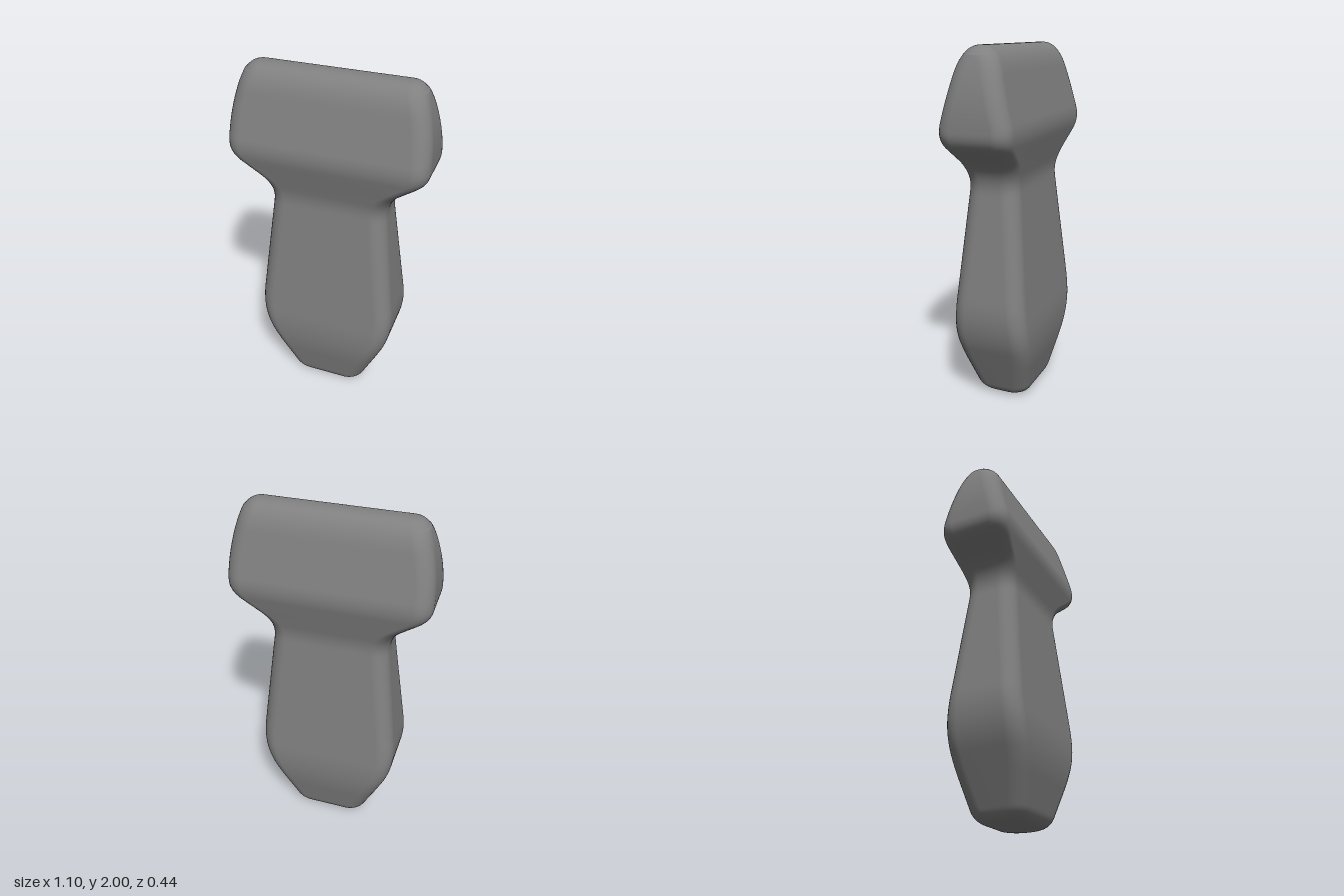
import * as THREE from 'three';

// Outline corners: [height, half size, fillet length]
const WIDTH = [
  [0, 0.14], [0, 0.2, 0.07], [0.48, 0.415, 0.16], [1.345, 0.316, 0.12],
  [1.525, 0.55, 0.06], [1.79, 0.546, 0.18], [2, 0.465, 0.08], [2, 0.39],
];
const DEPTH = [
  [0, 0.08], [0, 0.148, 0.075], [0.37, 0.23, 0.15], [1.3, 0.141, 0.05],
  [1.57, 0.208, 0.06], [2, 0.096, 0.14], [2, 0.004],
];

// Polyline with rounded corners, returned as a lookup from height to half size
function outline(corners) {
  const v = corners.map(([y, s]) => new THREE.Vector2(s, y));
  const toward = (a, b, d) => a.clone().lerp(b, Math.min(1, d / a.distanceTo(b)));
  const path = new THREE.Path().moveTo(v[0].x, v[0].y);
  for (let i = 1; i < v.length - 1; i++) {
    const p = toward(v[i], v[i - 1], corners[i][2]);
    const q = toward(v[i], v[i + 1], corners[i][2]);
    path.lineTo(p.x, p.y);
    path.quadraticCurveTo(v[i].x, v[i].y, q.x, q.y);
  }
  const pts = path.getPoints(24);
  return (y) => {
    const i = pts.findIndex((p) => p.y >= y - 1e-9);
    if (i <= 0) return pts[i < 0 ? pts.length - 1 : 0].x;
    const a = pts[i - 1], b = pts[i];
    return THREE.MathUtils.mapLinear(y, a.y, b.y, a.x, b.x);
  };
}

// Rounded rectangle sections stacked from the tip to the top ridge
function loftGeometry() {
  const width = outline(WIDTH), depth = outline(DEPTH);
  const rows = 200, steps = 8, ring = 4 * (steps + 1);
  const pos = [], index = [];
  for (let i = 0; i <= rows; i++) {
    const y = 1 - Math.cos((Math.PI * i) / rows); // finer rows at both ends
    const w = width(y), d = depth(y), r = Math.min(0.088, d * 0.95);
    for (let c = 0; c < 4; c++) {
      const sx = c === 0 || c === 3 ? 1 : -1, sz = c < 2 ? 1 : -1;
      for (let k = 0; k <= steps; k++) {
        const a = (c + k / steps) * Math.PI / 2;
        pos.push(sx * (w - r) + r * Math.cos(a), y, sz * (d - r) + r * Math.sin(a));
      }
    }
  }
  for (let i = 0; i < rows; i++) {
    for (let j = 0; j < ring; j++) {
      const a = i * ring + j, b = i * ring + (j + 1) % ring;
      index.push(a, a + ring, b, b, a + ring, b + ring);
    }
  }
  // End caps
  const bottom = pos.length / 3, top = bottom + 1, last = rows * ring;
  pos.push(0, 0, 0, 0, 2, 0);
  for (let j = 0; j < ring; j++) {
    const n = (j + 1) % ring;
    index.push(bottom, j, n, top, last + n, last + j);
  }
  const geo = new THREE.BufferGeometry();
  geo.setAttribute('position', new THREE.Float32BufferAttribute(pos, 3));
  geo.setIndex(index);
  geo.computeVertexNormals();
  return geo;
}

export function createModel() {
  const model = new THREE.Group();
  const body = new THREE.Mesh(
    loftGeometry(),
    new THREE.MeshStandardMaterial({ color: 0x808080 }),
  );
  body.name = 'hammerBody';
  model.add(body);
  return model;
}
